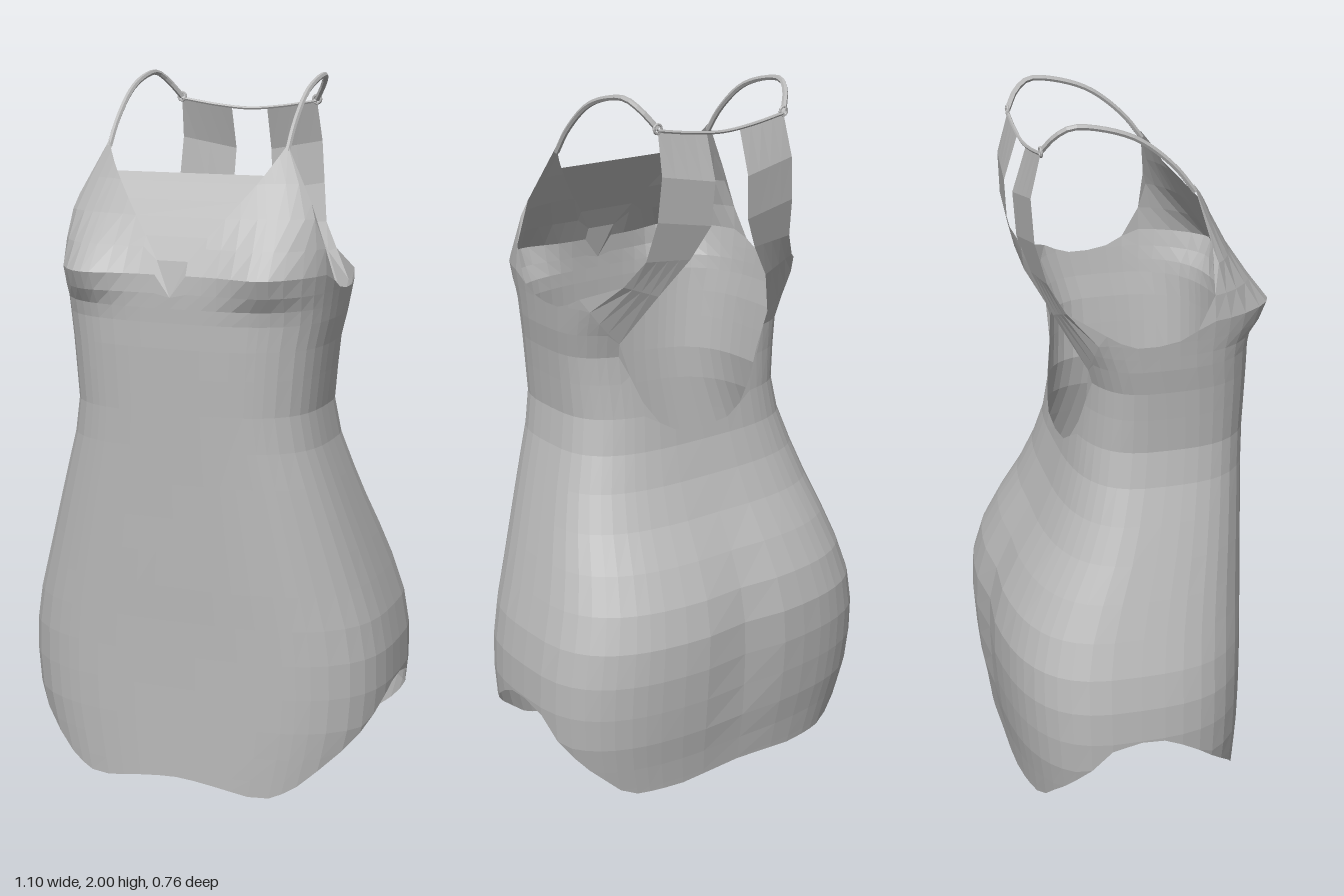
import * as THREE from 'three';

const fabric = new THREE.MeshStandardMaterial({ color: 0xbababa, flatShading: true, side: THREE.DoubleSide });
fabric.name = 'grey fabric';

// Body profile by height: y, half width, front z, back z, z of the widest point
const PROFILE = [
  [0, 0.48, 0.33, -0.34, -0.04],
  [0.1, 0.515, 0.33, -0.352, -0.05],
  [0.2, 0.54, 0.33, -0.37, -0.05],
  [0.35, 0.553, 0.33, -0.386, -0.05],
  [0.48, 0.535, 0.332, -0.39, -0.05],
  [0.63, 0.49, 0.336, -0.35, -0.03],
  [0.85, 0.42, 0.34, -0.215, 0.03],
  [1.0, 0.372, 0.344, -0.17, 0.06],
  [1.1, 0.355, 0.347, -0.155, 0.07],
  [1.27, 0.37, 0.352, -0.138, 0.06],
  [1.35, 0.384, 0.352, -0.16, 0.04],
  [1.42, 0.392, 0.354, -0.195, 0.03],
  [1.48, 0.4, 0.35, -0.215, 0.03],
  [1.55, 0.395, 0.318, -0.24, 0.06],
  [1.63, 0.382, 0.277, -0.25, 0.09],
  [1.72, 0.348, 0.23, -0.25, 0.09],
  [1.82, 0.299, 0.19, -0.25, 0.08],
];

// Edge heights by angle in degrees: 0 = front centre, 180 = back centre
const HEM = [[0, 0.03], [11, 0.01], [17, 0], [25, 0], [34, 0.025], [47, 0.1], [60, 0.16], [75, 0.24],
  [86, 0.29], [92, 0.298], [98, 0.27], [106, 0.21], [120, 0.14], [131, 0.09], [138, 0.05], [146, 0.03], [166, 0.03], [180, 0.045]];
const TOP = [[55, 1.82], [64, 1.67], [72, 1.55], [80, 1.46], [86, 1.435], [90, 1.425], [97, 1.425], [106, 1.44],
  [115, 1.46], [146, 1.32], [152, 1.22], [158, 1.14], [166, 1.075], [173, 1.045], [180, 1.035]];

const ANGLES = [0, 2, 6, 11, 17, 25, 30, 36, 44, 55, 64, 72, 80, 86, 90, 97, 106, 115, 123, 131, 138, 146, 152, 158, 166, 173, 180];
const LEVELS = [0, 0.05, 0.12, 0.2, 0.3, 0.4, 0.5, 0.6, 0.7, 0.8, 0.9, 1, 1.1, 1.2, 1.28, 1.35, 1.39, 1.43, 1.48, 1.55, 1.63, 1.72, 1.82];

// Linear lookup of one column in a sorted table
function lookup(table, v, column = 1) {
  let i = 1;
  while (i < table.length - 1 && table[i][0] < v) i++;
  const a = table[i - 1], b = table[i];
  const k = THREE.MathUtils.clamp((v - a[0]) / (b[0] - a[0]), 0, 1);
  return a[column] + (b[column] - a[column]) * k;
}

// The neckline is a V up to 55 degrees, then the armhole and open back follow
function topHeight(angle) {
  if (angle >= 55) return lookup(TOP, angle);
  const s = Math.sin(THREE.MathUtils.degToRad(angle)) / Math.sin(THREE.MathUtils.degToRad(55));
  return 1.42 + 0.4 * Math.pow(s, 0.45);
}

// Point on the garment: a rounded-square section with bust and seat shaping
function bodyPoint(angle, y) {
  const t = THREE.MathUtils.degToRad(Math.abs(angle));
  const [w, front, back, mid] = [1, 2, 3, 4].map((c) => lookup(PROFILE, y, c));
  const x = w * Math.pow(Math.abs(Math.sin(t)), 0.65);
  const c = Math.cos(t);
  const reach = Math.pow(Math.abs(c), 0.65);
  let z = c > 0 ? mid + (front - mid) * reach : mid - (mid - back) * reach;
  if (c > 0) {
    const spread = y > 1.47 ? 0.09 : 0.055;
    z += 0.055 * Math.min(1, c * 2) * Math.exp(-(((x - 0.27) / 0.1) ** 2) - ((y - 1.47) / spread) ** 2);
  } else {
    z += 0.015 * Math.exp(-((x / 0.05) ** 2) - ((y - 0.45) / 0.25) ** 2);
  }
  return [angle < 0 ? -x : x, y, z];
}

// Surface through rows of points
function sheet(name, rows, closed = false) {
  const n = rows[0].length, index = [];
  for (let i = 0; i < rows.length - 1; i++) {
    for (let j = 0; j < (closed ? n : n - 1); j++) {
      const k = (j + 1) % n;
      const a = i * n + j, b = i * n + k, c = a + n, d = b + n;
      const flatLeft = rows[i][j][1] === rows[i + 1][j][1];
      const flatRight = rows[i][k][1] === rows[i + 1][k][1];
      if (!flatRight) index.push(a, b, d);
      if (!flatLeft) index.push(a, d, c);
    }
  }
  const g = new THREE.BufferGeometry();
  g.setAttribute('position', new THREE.Float32BufferAttribute(rows.flat(2), 3));
  g.setIndex(index);
  g.computeVertexNormals();
  const mesh = new THREE.Mesh(g, fabric);
  mesh.name = name;
  return mesh;
}

function cord(name, points, radius) {
  const curve = new THREE.CatmullRomCurve3(points.map((p) => new THREE.Vector3(...p)));
  const mesh = new THREE.Mesh(new THREE.TubeGeometry(curve, 20, radius, 6), fabric);
  mesh.name = name;
  return mesh;
}

export function createModel() {
  const model = new THREE.Group();
  model.name = 'slipDress';

  // Skirt, waist and cups as one shell, trimmed to hem and neckline
  const ring = [...ANGLES, ...ANGLES.slice(1, -1).reverse().map((a) => -a)];
  const rows = LEVELS.map((level) => ring.map((a) => {
    const m = Math.abs(a);
    return bodyPoint(a, Math.min(Math.max(level, lookup(HEM, m)), topHeight(m)));
  }));
  model.add(sheet('dressBody', rows, true));

  // Panel spanning the V neckline from edge to edge
  model.add(sheet('necklinePanel', ANGLES.filter((a) => a <= 30).map((a) =>
    [bodyPoint(-a, topHeight(a)), bodyPoint(a, topHeight(a))])));

  // Back bands: inner edge and outer edge, rising from the body
  const bandEdges = [
    [[0.185, 1.46, -0.208], [0.29, 1.5, -0.195]],
    [[0.11, 1.56, -0.25], [0.245, 1.57, -0.235]],
    [[0.062, 1.65, -0.278], [0.228, 1.68, -0.264]],
    [[0.055, 1.77, -0.285], [0.218, 1.8, -0.27]],
    [[0.055, 1.895, -0.245], [0.21, 1.915, -0.24]],
  ];
  const bandRoot = [146, 138, 131, 123, 115].map((a) => bodyPoint(a, topHeight(a)));
  for (const [side, sx] of [['left', 1], ['right', -1]]) {
    const flip = (p) => [p[0] * sx, p[1], p[2]];
    const bandRows = [bandRoot, ...bandEdges.map(([inner, outer]) =>
      bandRoot.map((_, k) => inner.map((v, i) => v + (outer[i] - v) * k / 4)))];
    model.add(sheet(side + 'BackBand', bandRows.map((r) => r.map(flip))));

    // Shoulder strap from cup tip to back band
    model.add(cord(side + 'Strap', [
      [0.262, 1.8, 0.16], [0.262, 1.87, 0.105], [0.262, 1.95, 0.005], [0.262, 1.986, -0.1],
      [0.258, 1.991, -0.17], [0.24, 1.965, -0.21], [0.21, 1.92, -0.24],
    ].map(flip), 0.008));

    // Ring joining strap and band
    const ringMesh = new THREE.Mesh(new THREE.TorusGeometry(0.012, 0.004, 6, 12), fabric);
    ringMesh.name = side + 'StrapRing';
    ringMesh.position.set(0.21 * sx, 1.92, -0.24);
    model.add(ringMesh);
  }

  // Cord across the top of the back
  model.add(cord('backCord', [
    [-0.21, 1.915, -0.24], [-0.1, 1.898, -0.244], [0, 1.89, -0.245], [0.1, 1.898, -0.244], [0.21, 1.915, -0.24],
  ], 0.005));

  return model;
}
